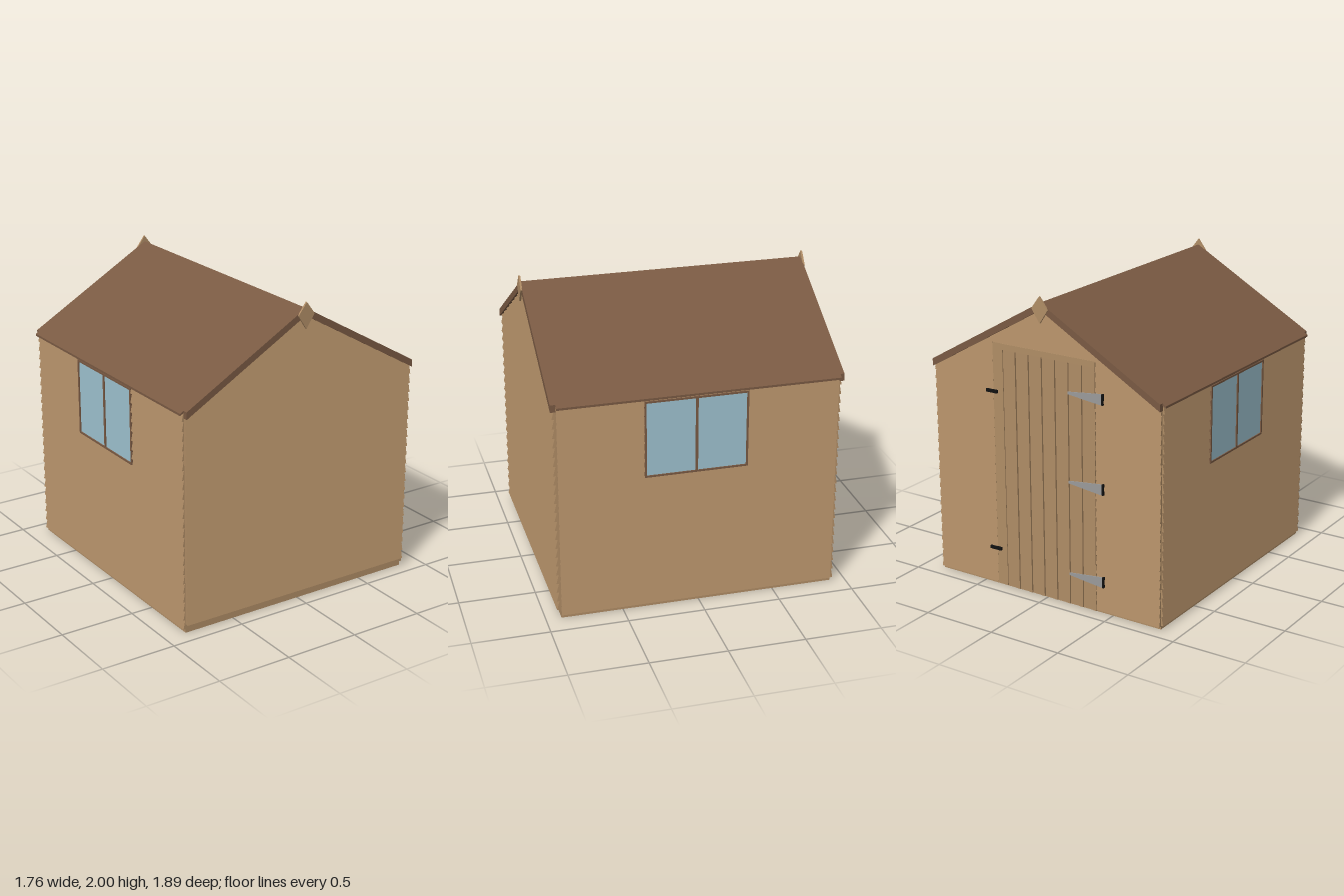
import * as THREE from 'three';
import { mergeGeometries } from 'three/addons/utils/BufferGeometryUtils.js';

const material = (color) => new THREE.MeshStandardMaterial({ color, flatShading: true });
const wood = material(0xb08d66);
const brown = material(0x7a5a43);
const glass = material(0x9fc3d0);
const metal = material(0x9a9a9a);
const black = material(0x111111);

const PITCH = 0.0625;  // height of one cladding board
const RIDGE = 1.96, SLOPE = 0.574;

function add(parent, name, geometry, mat) {
  const mesh = new THREE.Mesh(geometry, mat);
  mesh.name = name;
  parent.add(mesh);
  return mesh;
}

// Box given by its min and max corners
function block(x0, x1, y0, y1, z0, z1) {
  return new THREE.BoxGeometry(x1 - x0, y1 - y0, z1 - z0)
    .translate((x0 + x1) / 2, (y0 + y1) / 2, (z0 + z1) / 2);
}

// Tapered board: bottom and top may differ in extent [left, right] and thickness
function board(bottom, top, y0, y1, t0, t1) {
  const g = new THREE.BoxGeometry(1, 1, 1), p = g.attributes.position;
  for (let i = 0; i < p.count; i++) {
    const up = p.getY(i) > 0, side = p.getX(i) > 0 ? 1 : 0, out = p.getZ(i) > 0;
    p.setXYZ(i, (up ? top : bottom)[side], up ? y1 : y0, out ? (up ? t1 : t0) : 0);
  }
  g.computeVertexNormals();
  return g;
}

// Overlapping weatherboards, each thick at its lower lip, cut around an opening
function cladding(yStart, yEnd, halfWidth, thick, thin, hole, breaks = []) {
  const parts = [];
  const cuts = hole ? [...breaks, hole.y0, hole.y1] : breaks;
  for (let y = yStart; y < yEnd - 0.002; y += PITCH) {
    const end = Math.min(y + PITCH, yEnd);
    const ys = [y, ...cuts.filter((c) => c > y + 1e-4 && c < end - 1e-4), end].sort((a, b) => a - b);
    const t = (v) => THREE.MathUtils.lerp(thick, thin, (v - y) / PITCH);
    for (let k = 0; k < ys.length - 1; k++) {
      const a = ys[k], b = ys[k + 1], wa = halfWidth(a), wb = halfWidth(b), mid = (a + b) / 2;
      if (hole && mid > hole.y0 && mid < hole.y1) {
        parts.push(board([-wa, hole.x0], [-wb, hole.x0], a, b, t(a), t(b)));
        parts.push(board([hole.x1, wa], [hole.x1, wb], a, b, t(a), t(b)));
      } else {
        parts.push(board([-wa, wa], [-wb, wb], a, b, t(a), t(b)));
      }
    }
  }
  return mergeGeometries(parts);
}

function extrude(points, depth) {
  const shape = new THREE.Shape(points.map(([x, y]) => new THREE.Vector2(x, y)));
  return new THREE.ExtrudeGeometry(shape, { depth, bevelEnabled: false });
}

// Inverted V following the roof pitch
function chevron(half, drop, depth) {
  const eave = RIDGE - SLOPE * half;
  return extrude([[0, RIDGE], [-half, eave], [-half, eave - drop], [0, RIDGE - drop],
    [half, eave - drop], [half, eave]], depth);
}

function sideWall(name) {
  const wall = new THREE.Group();
  wall.name = name;
  const h = { x0: -0.355, x1: 0.31, y0: 0.92, y1: 1.43 };
  add(wall, 'sideCladding', cladding(0.025, 1.445, () => 0.9, 0.022, 0.008, h), wood);

  // Two-pane window in a slim frame
  const f = 0.012, mid = (h.x0 + h.x1) / 2;
  add(wall, 'windowFrame', mergeGeometries([
    block(h.x0, h.x0 + f, h.y0, h.y1, 0, 0.023),
    block(h.x1 - f, h.x1, h.y0, h.y1, 0, 0.023),
    block(h.x0 + f, h.x1 - f, h.y0, h.y0 + f, 0, 0.023),
    block(h.x0 + f, h.x1 - f, h.y1 - f, h.y1, 0, 0.023),
    block(mid - 0.008, mid + 0.008, h.y0 + f, h.y1 - f, 0, 0.023),
  ]), brown);
  add(wall, 'windowGlass', block(h.x0 + f, h.x1 - f, h.y0 + f, h.y1 - f, 0.008, 0.016), glass);
  return wall;
}

function door() {
  const group = new THREE.Group();
  group.name = 'door';
  add(group, 'doorJamb', block(-0.385, -0.31, 0.01, 1.65, 0, 0.016), wood);
  add(group, 'doorHead', block(-0.31, 0.385, 1.61, 1.65, 0, 0.022), wood);

  // Vertical planks, each tapering in thickness across its width
  const count = 7, w = 0.695 / count, planks = [];
  for (let i = 0; i < count; i++) {
    const plank = board([0, 1.6], [0, 1.6], 0, w, 0.022, 0.01);
    plank.rotateZ(Math.PI / 2).translate(-0.31 + (i + 1) * w, 0.01, 0);
    planks.push(plank);
  }
  add(group, 'doorPlanks', mergeGeometries(planks), wood);

  // Tapered strap hinges with a dark pin
  for (const y of [0.22, 0.84, 1.42]) {
    const strap = extrude([[0.19, y - 0.008], [0.42, y - 0.034], [0.435, y - 0.034],
      [0.435, y + 0.034], [0.42, y + 0.034], [0.19, y + 0.008]], 0.006);
    add(group, 'hingeStrap', strap.translate(0, 0, 0.022), metal);
    add(group, 'hingePin', block(0.435, 0.447, y - 0.035, y + 0.035, 0.012, 0.03), black);
  }
  // Turn-button latches
  for (const y of [0.26, 1.33]) {
    add(group, 'latch', block(-0.435, -0.35, y - 0.01, y + 0.01, 0.012, 0.032), black);
  }
  return group;
}

export function createModel() {
  const shed = new THREE.Group();
  shed.name = 'shed';

  add(shed, 'floor', block(-0.852, 0.852, 0, 0.06, -0.9, 0.9), wood);

  // Side walls with windows, the second turned half round
  for (const s of [1, -1]) {
    const wall = sideWall(s > 0 ? 'leftWall' : 'rightWall');
    wall.position.x = s * 0.846;
    wall.rotation.y = s * Math.PI / 2;
    shed.add(wall);
  }

  // Gable walls, narrowing under the roof pitch
  const top = RIDGE - 0.015, eave = top - SLOPE * 0.852;
  const gable = (y) => Math.max(0.001, Math.min(0.852, (top - y) / SLOPE));
  const front = add(shed, 'frontWall', cladding(0.06, top, gable, 0.027, 0.01, null, [eave]), wood);
  front.position.z = 0.9;

  const back = new THREE.Group();
  back.name = 'backWall';
  const opening = { x0: -0.385, x1: 0.385, y0: 0.01, y1: 1.65 };
  add(back, 'backCladding', cladding(0.02, top, gable, 0.02, 0.008, opening, [eave]), wood);
  back.add(door());
  back.position.z = -0.9;
  back.rotation.y = Math.PI;
  shed.add(back);

  // Roof, barge boards and diamond finials
  add(shed, 'roof', chevron(0.88, 0.014, 1.81).translate(0, 0, -0.908), brown);
  for (const s of [1, -1]) {
    const trim = new THREE.Group();
    trim.name = s > 0 ? 'frontTrim' : 'backTrim';
    add(trim, 'bargeBoards', chevron(0.855, 0.048, 0.033).translate(0, 0, 0.902), brown);
    add(trim, 'finial', extrude([[0, 2], [-0.06, 1.92], [0, 1.83], [0.06, 1.92]], 0.012)
      .translate(0, 0, 0.932), wood);
    trim.rotation.y = s > 0 ? 0 : Math.PI;
    shed.add(trim);
  }
  return shed;
}
